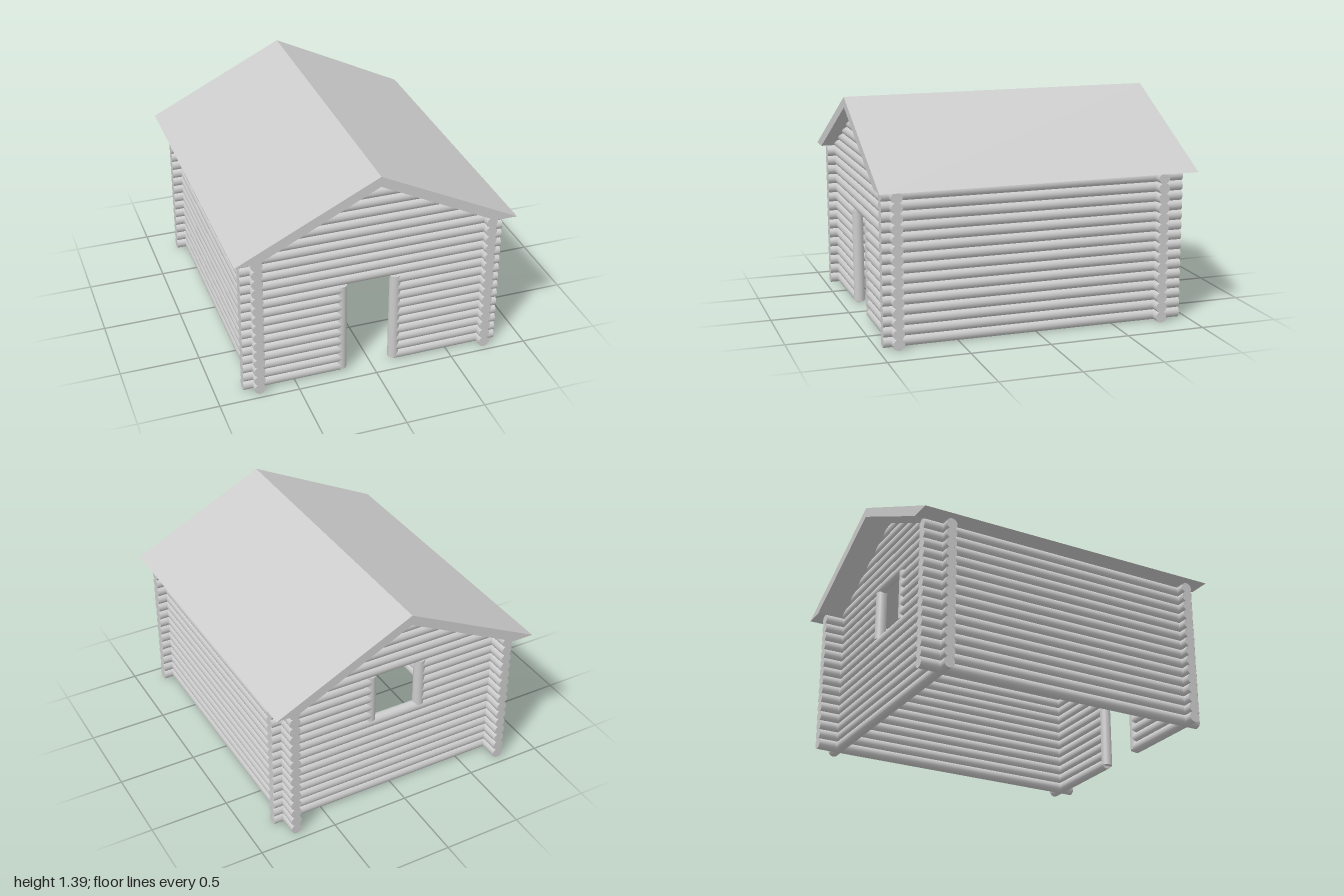
import * as THREE from 'three';

const R = 0.035;            // log radius
const STEP = 0.063;         // vertical spacing of the log courses
const COURSES = 15;         // courses up to the eaves
const GABLE_TOP = 21;       // courses up to the ridge
const FRONT_Z = 0.885, BACK_Z = -0.8, SIDE_X = 0.737;
const HALF_LENGTH = 0.828;  // half length of the front and back logs
const POSTS = [-0.195, 0.15];

const material = new THREE.MeshStandardMaterial({ color: 0xcccccc });

function add(parent, geometry, name) {
  const mesh = new THREE.Mesh(geometry, material);
  mesh.name = name;
  parent.add(mesh);
  return mesh;
}

const courseY = (i) => R + i * STEP;

// Log lying along x from x0 to x1
function logX(parent, x0, x1, y, z, name) {
  const g = new THREE.CylinderGeometry(R, R, x1 - x0, 20);
  g.rotateZ(Math.PI / 2);
  add(parent, g, name).position.set((x0 + x1) / 2, y, z);
}

// Gable log whose ends are cut to the roof slope
function gableLog(parent, y, z) {
  const g = new THREE.CylinderGeometry(R, R, 2, 20);
  g.rotateZ(Math.PI / 2);
  const p = g.attributes.position;
  for (let i = 0; i < p.count; i++) {
    const half = Math.max(0, (1.35 - y - p.getY(i)) / 0.5);
    p.setX(i, p.getX(i) * half);
  }
  add(parent, g, 'gableLog').position.set(0, y, z);
}

// End wall with an opening between two posts, spanning courses first to last
function endWall(name, z, first, last, postBottom, postTop) {
  const wall = new THREE.Group();
  wall.name = name;
  for (let i = 0; i < COURSES; i++) {
    const y = courseY(i);
    if (i >= first && i <= last) {
      logX(wall, -HALF_LENGTH, POSTS[0], y, z, 'shortLog');
      logX(wall, POSTS[1], HALF_LENGTH, y, z, 'shortLog');
    } else {
      logX(wall, -HALF_LENGTH, HALF_LENGTH, y, z, 'wallLog');
    }
  }
  for (let i = COURSES; i < GABLE_TOP; i++) gableLog(wall, courseY(i), z);
  for (const x of POSTS) {
    const g = new THREE.CylinderGeometry(R, R, postTop - postBottom, 20);
    add(wall, g, 'openingPost').position.set(x, (postTop + postBottom) / 2, z);
  }
  return wall;
}

// Side wall of full-length logs
function sideWall(name, x) {
  const wall = new THREE.Group();
  wall.name = name;
  for (let i = 0; i < COURSES; i++) {
    const g = new THREE.CylinderGeometry(R, R, 1.915, 20);
    g.rotateX(Math.PI / 2);
    add(wall, g, 'wallLog').position.set(x, courseY(i), 0.0075);
  }
  return wall;
}

export function createModel() {
  const cabin = new THREE.Group();
  cabin.name = 'logCabin';

  // Walls: doorway in front, window at the back
  cabin.add(endWall('frontWall', FRONT_Z, 0, 9, 0.02, 0.625));
  cabin.add(endWall('backWall', BACK_Z, 9, 13, 0.56, 0.89));
  cabin.add(sideWall('leftWall', SIDE_X));
  cabin.add(sideWall('rightWall', -SIDE_X));

  // Pitched roof slab
  const section = new THREE.Shape([
    [-0.88, 0.955], [-0.74, 0.955], [0, 1.325],
    [0.74, 0.955], [0.88, 0.955], [0, 1.39],
  ].map(([x, y]) => new THREE.Vector2(x, y)));
  const roof = new THREE.ExtrudeGeometry(section, { depth: 2, bevelEnabled: false });
  roof.translate(0, 0, -1);
  add(cabin, roof, 'roof');

  return cabin;
}
